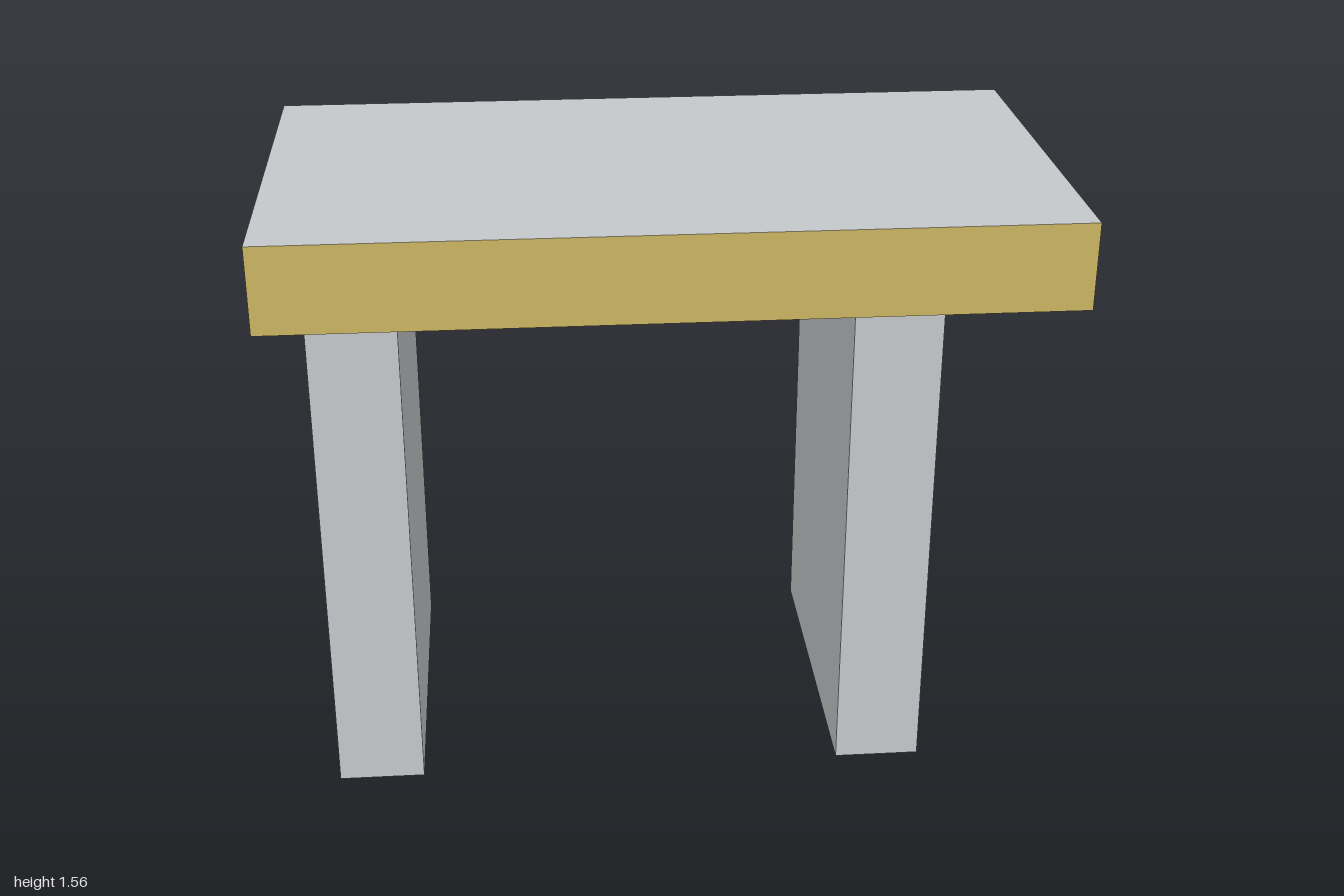
import * as THREE from 'three';

const U = 1 / 9; // the model sits on a grid of ninths

function material(name, color) {
  const m = new THREE.MeshStandardMaterial({ color });
  m.name = name;
  return m;
}

// Box given by its size and centre in grid units
function box(name, [w, h, d], [x, y, z], mat) {
  const mesh = new THREE.Mesh(new THREE.BoxGeometry(w * U, h * U, d * U), mat);
  mesh.name = name;
  mesh.position.set(x * U, y * U, z * U);
  return mesh;
}

export function createModel() {
  const model = new THREE.Group();
  model.name = 'table';

  const grey = material('light grey', 0xc4c8ca);
  const green = material('green', 0x48ca80);
  const red = material('red', 0xc57374);
  const slate = material('dark slate', 0x666e80);
  const yellow = material('yellow', 0xcab563);
  const blue = material('blue', 0x58a4d0);

  // Table top, one colour per face: +x, -x, +y, -y, +z, -z
  model.add(box('tableTop', [18, 2, 10], [0, 13, 0], [green, red, grey, slate, yellow, blue]));

  // Slab legs, placed unevenly along the table
  model.add(box('rightLeg', [2, 12, 8], [-7, 6, 0], grey));
  model.add(box('leftLeg', [2, 12, 8], [5, 6, 0], grey));

  return model;
}
